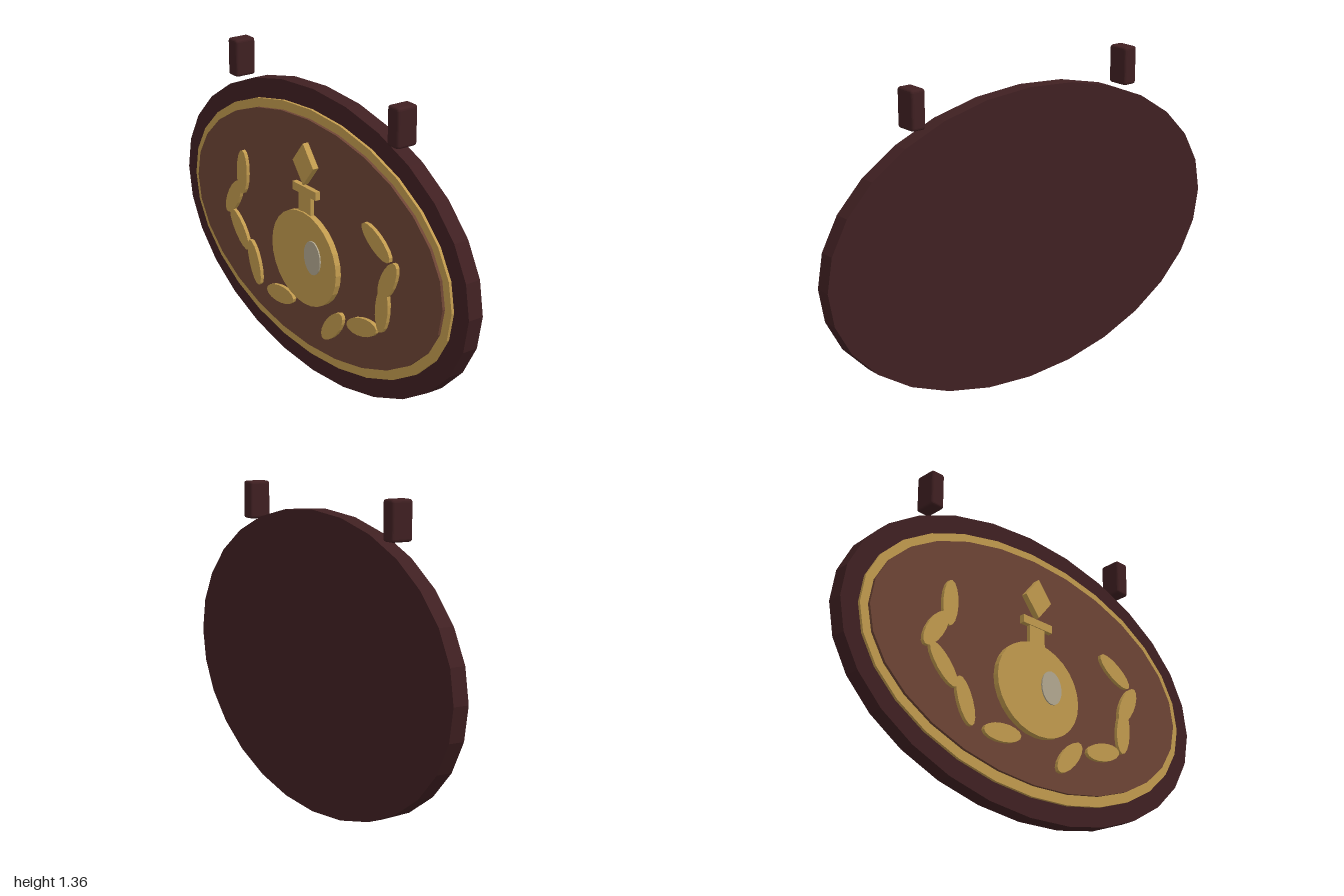
import * as THREE from 'three';
import { RoundedBoxGeometry } from 'three/addons/geometries/RoundedBoxGeometry.js';

export function createModel() {
  const model = new THREE.Group();
  const makeMaterial = (name, color) => {
    const m = new THREE.MeshStandardMaterial({ color, flatShading: true });
    m.name = name;
    return m;
  };
  const darkWood = makeMaterial('dark wood', 0x402022);
  const panelWood = makeMaterial('panel wood', 0x6e4535);
  const gold = makeMaterial('gold', 0xc29b4e);
  const glass = makeMaterial('pale glint', 0xb2a890);

  const add = (name, geometry, material, x, y, z, parent = model) => {
    const mesh = new THREE.Mesh(geometry, material);
    mesh.name = name;
    mesh.position.set(x, y, z);
    parent.add(mesh);
    return mesh;
  };
  // Flat elliptical plate facing +z, from z0 to z1
  const plate = (name, material, x, y, rx, ry, z0, z1, sides, parent) => {
    const g = new THREE.CylinderGeometry(1, 1, z1 - z0, sides);
    g.rotateX(Math.PI / 2).scale(rx, ry, 1);
    return add(name, g, material, x, y, (z0 + z1) / 2, parent);
  };

  // Layered oval sign
  plate('board', darkWood, 0, 0.64, 1, 0.64, -0.062, 0.006, 28);
  plate('goldRim', gold, 0, 0.64, 0.915, 0.554, 0, 0.018, 28);
  plate('panel', panelWood, 0, 0.643, 0.876, 0.511, 0.005, 0.03, 28);

  // Hanging brackets
  for (const side of [-1, 1]) {
    add(side > 0 ? 'leftBracket' : 'rightBracket',
      new RoundedBoxGeometry(0.067, 0.164, 0.098, 2, 0.012), darkWood, side * 0.556, 1.28, -0.013);
  }

  // Flask emblem
  const flask = new THREE.Group();
  flask.name = 'flask';
  model.add(flask);
  plate('flaskBody', gold, 0, 0.545, 0.232, 0.208, 0.02, 0.056, 28, flask);
  add('flaskNeck', new THREE.BoxGeometry(0.086, 0.14, 0.028), gold, 0, 0.78, 0.034, flask);
  add('flaskLip', new THREE.BoxGeometry(0.166, 0.036, 0.034), gold, 0, 0.849, 0.035, flask);
  plate('stopper', gold, 0, 0.966, 0.073, 0.091, 0.02, 0.057, 4, flask);
  plate('glint', glass, 0.07, 0.572, 0.057, 0.075, 0.054, 0.062, 20, flask);

  // Wreath leaves: centre x, centre y, angle in degrees
  const leaves = new THREE.Group();
  leaves.name = 'wreath';
  model.add(leaves);
  [
    [-0.482, 0.78, 87], [-0.555, 0.643, 57], [-0.51, 0.5, -48], [-0.393, 0.38, -70],
    [-0.192, 0.302, 8], [0.19, 0.3, 48], [0.393, 0.379, 16], [0.523, 0.508, 84],
    [0.555, 0.643, 62], [0.478, 0.783, -30],
  ].forEach(([x, y, angle], i) => {
    const leaf = plate('leaf' + (i + 1), gold, x, y, 0.103, 0.04, 0.02, 0.046, 16, leaves);
    leaf.rotation.z = THREE.MathUtils.degToRad(angle);
  });

  return model;
}
